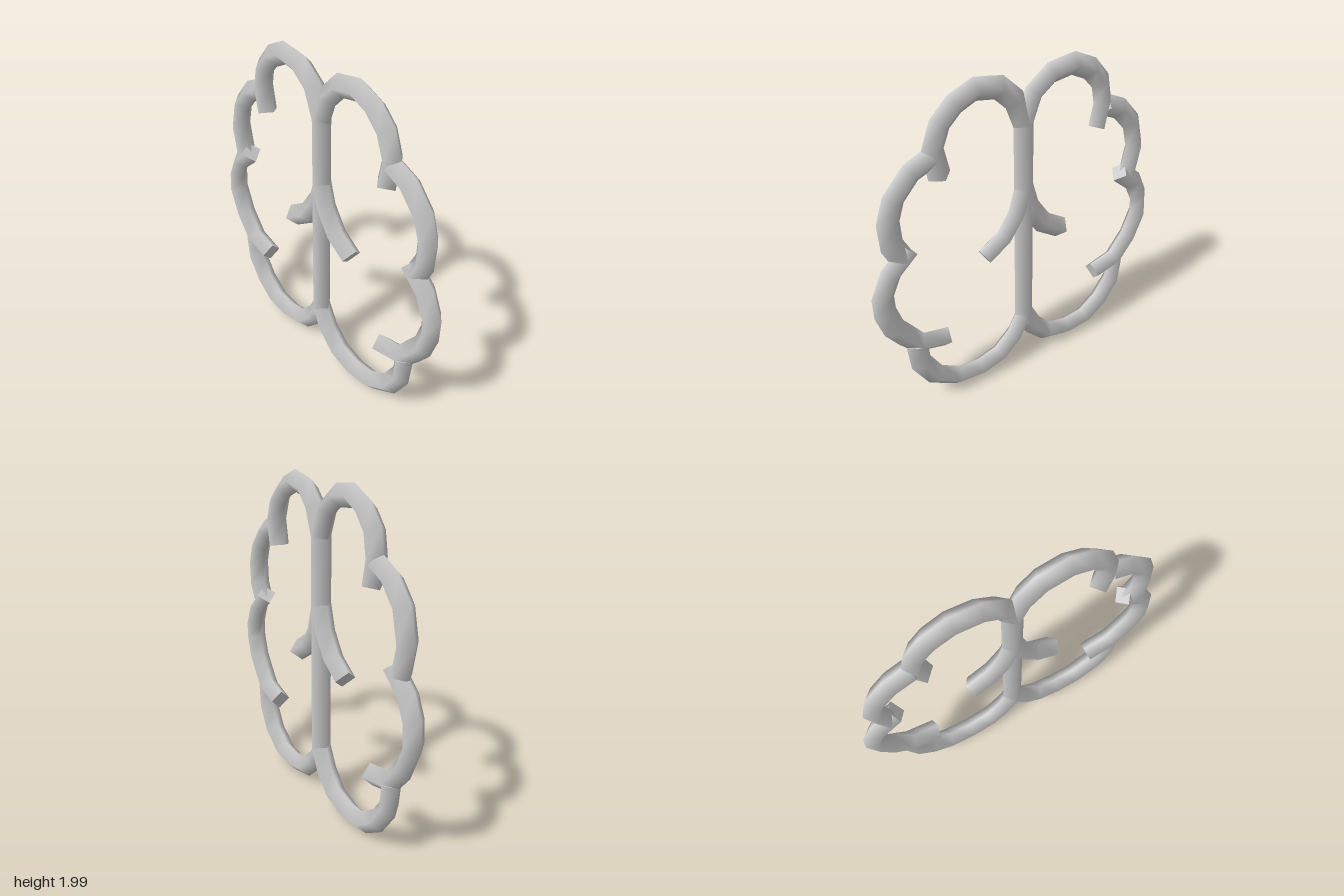
import * as THREE from 'three';

const RADIUS = 0.066;

// Path that steps exactly from corner to corner, with averaged tangents
class CornerPath extends THREE.Curve {
  constructor(points) {
    super();
    this.pts = points.map(([x, y]) => new THREE.Vector3(x, y, 0));
  }
  index(u) {
    return Math.round(u * (this.pts.length - 1));
  }
  getPointAt(u, target = new THREE.Vector3()) {
    return target.copy(this.pts[this.index(u)]);
  }
  getTangentAt(u, target = new THREE.Vector3()) {
    const i = this.index(u), p = this.pts, n = p.length - 1;
    const before = new THREE.Vector3(), after = new THREE.Vector3();
    if (i > 0) before.subVectors(p[i], p[i - 1]).normalize();
    if (i < n) after.subVectors(p[i + 1], p[i]).normalize();
    return target.addVectors(before, after).normalize();
  }
}

// Four-sided tube with flat caps on both ends
function makeTube(name, points, material) {
  const part = new THREE.Group();
  part.name = name;
  const path = new CornerPath(points);
  const tube = new THREE.Mesh(new THREE.TubeGeometry(path, points.length - 1, RADIUS, 4, false), material);
  tube.name = name + 'Tube';
  part.add(tube);
  for (const [u, sign] of [[0, -1], [1, 1]]) {
    const cap = new THREE.Mesh(new THREE.CircleGeometry(RADIUS, 4), material);
    cap.name = name + 'Cap';
    cap.position.copy(path.getPointAt(u));
    cap.lookAt(path.getTangentAt(u).multiplyScalar(sign).add(cap.position));
    part.add(cap);
  }
  return part;
}

export function createModel() {
  const model = new THREE.Group();
  model.name = 'brainOutline';
  const grey = new THREE.MeshStandardMaterial({ color: 0xcccccc });
  grey.name = 'lightGrey';

  const parts = {
    // Central dividing line
    centreStem: [[0, 0.3], [0, 1.67]],

    // Right half
    rightTopLobe: [[0, 1.67], [-0.065, 1.83], [-0.18, 1.915], [-0.33, 1.935], [-0.45, 1.88],
      [-0.53, 1.79], [-0.555, 1.66], [-0.525, 1.515]],
    rightUpperLobe: [[-0.57, 1.635], [-0.695, 1.58], [-0.795, 1.47], [-0.838, 1.3], [-0.8, 1.12]],
    rightSideLobe: [[-0.735, 1.14], [-0.86, 1.035], [-0.915, 0.92], [-0.925, 0.79], [-0.855, 0.625],
      [-0.74, 0.485], [-0.56, 0.44]],
    rightBottomLobe: [[-0.755, 0.49], [-0.735, 0.32], [-0.633, 0.18], [-0.5, 0.09], [-0.34, 0.075],
      [-0.18, 0.112], [-0.07, 0.22], [0, 0.35]],

    // Left half
    leftTopLobe: [[0, 1.67], [0.06, 1.82], [0.155, 1.91], [0.3, 1.935], [0.42, 1.885],
      [0.51, 1.8], [0.56, 1.67], [0.53, 1.515]],
    leftUpperLobe: [[0.57, 1.635], [0.69, 1.585], [0.8, 1.465], [0.842, 1.34], [0.835, 1.2], [0.79, 1.11]],
    leftSideLobe: [[0.74, 1.14], [0.86, 1.03], [0.922, 0.895], [0.92, 0.79], [0.88, 0.665],
      [0.82, 0.585], [0.74, 0.485], [0.56, 0.44]],
    leftBottomLobe: [[0.755, 0.49], [0.74, 0.33], [0.653, 0.185], [0.5, 0.09], [0.34, 0.075],
      [0.19, 0.112], [0.07, 0.22], [0, 0.35]],
  };

  // Inner fork, mirrored to both sides of the stem
  for (const [side, s] of [['left', 1], ['right', -1]]) {
    parts[side + 'InnerBranch'] = [[0, 1.27], [s * 0.045, 1.12], [s * 0.14, 0.985], [s * 0.275, 0.9]];
  }

  for (const [name, points] of Object.entries(parts)) model.add(makeTube(name, points, grey));
  return model;
}
